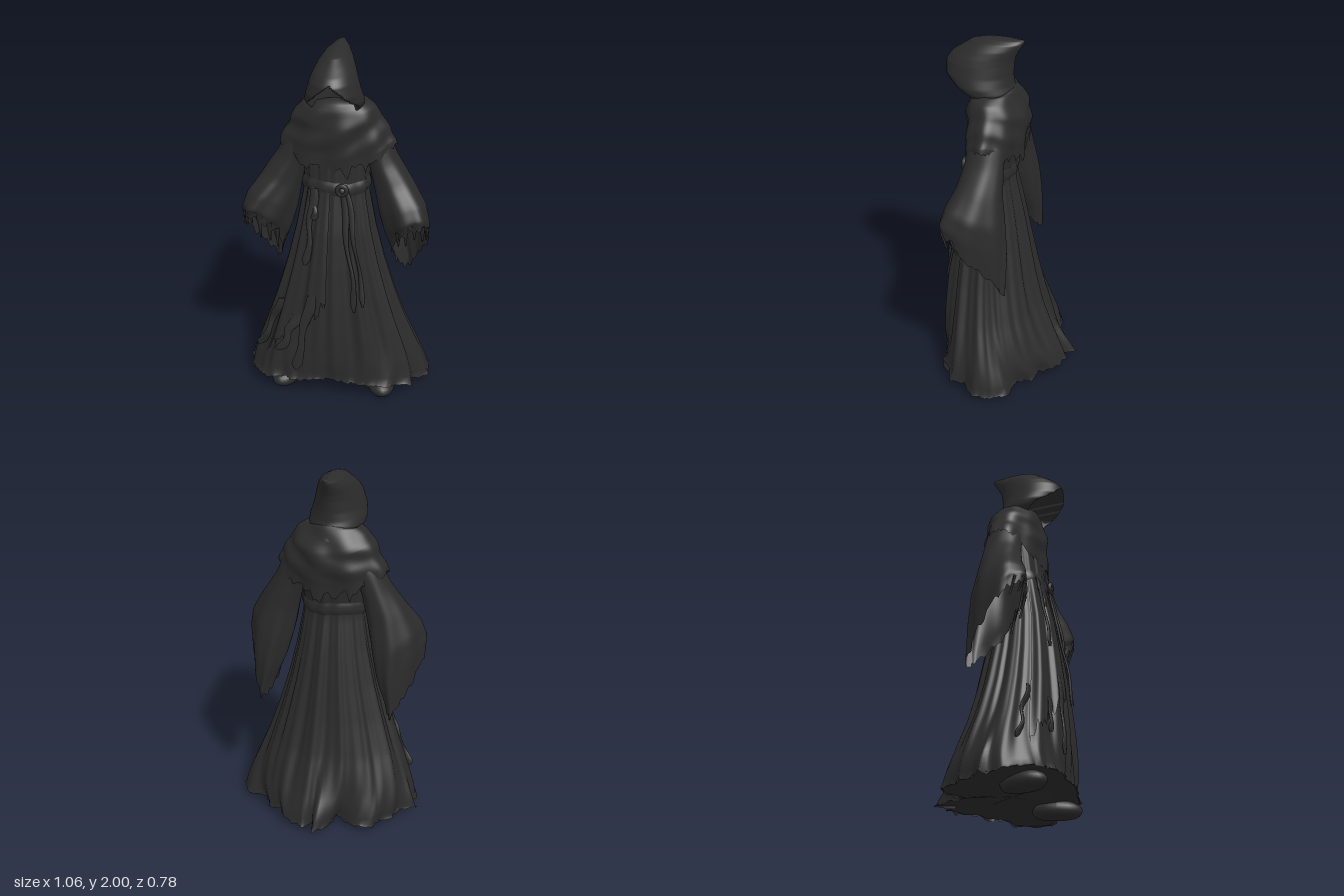
import * as THREE from 'three';

const cloth = new THREE.MeshStandardMaterial({ color: 0x2b2b2b, side: THREE.DoubleSide });
cloth.name = 'charcoal cloth';

const TAU = Math.PI * 2;
const { sin, cos, abs, max, min } = Math;
const clamp01 = (v) => min(1, max(0, v));
const jag = (i) => { const s = sin(i * 12.9898 + 4.1) * 43758.5453; return s - Math.floor(s); };

// Reads a table whose first column is the key
function sample(table, key) {
  let i = 0;
  const up = table[1][0] > table[0][0] ? 1 : -1;
  while (i < table.length - 2 && key * up > table[i + 1][0] * up) i++;
  const a = table[i], b = table[i + 1];
  const f = clamp01((key - a[0]) / (b[0] - a[0]));
  return a.map((v, k) => v + (b[k] - v) * f);
}

// Sheet of rows x cols points; rows run downwards, columns run round from the front to +x
function sheet(name, rows, cols, closed, point) {
  const pos = [], index = [], n = closed ? cols : cols + 1;
  for (let r = 0; r <= rows; r++) for (let c = 0; c < n; c++) pos.push(...point(r / rows, c / cols, c));
  for (let r = 0; r < rows; r++) for (let c = 0; c < cols; c++) {
    const a = r * n + c, b = r * n + (c + 1) % n, d = a + n, e = b + n;
    index.push(a, d, b, b, d, e);
  }
  const g = new THREE.BufferGeometry();
  g.setAttribute('position', new THREE.Float32BufferAttribute(pos, 3));
  g.setIndex(index);
  g.computeVertexNormals();
  const m = new THREE.Mesh(g, cloth);
  m.name = name;
  return m;
}

// Robe: height, half width, front z, back z, fold depth
const ROBE = [
  [1.62, 0.19, 0.175, -0.06, 0], [1.45, 0.19, 0.2, -0.06, 0.004], [1.26, 0.172, 0.215, -0.035, 0.004],
  [1.2, 0.178, 0.225, -0.04, 0.006], [1.0, 0.213, 0.268, -0.08, 0.01], [0.8, 0.26, 0.296, -0.115, 0.013],
  [0.6, 0.317, 0.318, -0.15, 0.016], [0.4, 0.378, 0.334, -0.19, 0.018], [0.2, 0.443, 0.346, -0.245, 0.022],
  [0.02, 0.5, 0.35, -0.32, 0.024],
];
// Deeply folded hem outline (x, z), from the back round by -x, turned into angle, x, z
const HEM = [
  [-0.0001, -0.29], [-0.035, -0.4], [-0.1, -0.29], [-0.11, -0.19], [-0.24, -0.26], [-0.33, -0.235], [-0.36, -0.14],
  [-0.41, -0.11], [-0.42, -0.03], [-0.52, 0.04], [-0.46, 0.07], [-0.49, 0.15], [-0.44, 0.22], [-0.4, 0.29],
  [-0.33, 0.33], [-0.25, 0.31], [-0.2, 0.355], [-0.1, 0.335], [0, 0.3], [0.1, 0.335], [0.2, 0.31], [0.32, 0.31],
  [0.36, 0.25], [0.45, 0.22], [0.44, 0.13], [0.52, 0.06], [0.51, -0.06], [0.45, -0.13], [0.37, -0.13],
  [0.33, -0.15], [0.28, -0.225], [0.2, -0.24], [0.17, -0.31], [0.03, -0.36], [0, -0.29],
].map(([x, z]) => [Math.atan2(x, z - 0.02), x, z]);
const hemHeight = (t) => 0.1 - 0.075 * clamp01(1.1 * (1 - cos(t)));

function robePoint(t, y, off = 0) {
  const [, rx, zf, zb, amp] = sample(ROBE, y);
  // the hem outline only takes over close to the ground
  const w = clamp01((0.9 - y) / 0.86) ** 5;
  const fold = amp * (1 - 0.7 * w) * (0.6 * sin(t * 13 + sin(t * 2)) + 0.55 * (1 - 2 * abs(sin(t * 5 + 0.6))) + 0.3 * sin(t * 29));
  const x = (rx + fold) * sin(t), z = (zf + zb) / 2 + ((zf - zb) / 2 + fold) * cos(t);
  const [, hx, hz] = sample(HEM, t);
  return [x + (hx - x) * w + off * sin(t), y, z + (hz - z) * w + off * cos(t)];
}

// Hood: height, back z, front z, half width
const HOOD = [
  [2.0, -0.05, 0.09, 0], [1.995, -0.088, 0.135, 0.03], [1.975, -0.08, 0.2, 0.065], [1.94, -0.058, 0.25, 0.093],
  [1.9, -0.038, 0.305, 0.114], [1.865, -0.03, 0.333, 0.128], [1.8, -0.025, 0.345, 0.148],
  [1.75, -0.028, 0.31, 0.163], [1.72, -0.04, 0.27, 0.16], [1.66, -0.07, 0.18, 0.135],
];
function hoodPoint(v, u) {
  const y = 2 - 0.34 * v ** 1.25, t = (u - 0.5) * TAU;
  const [, zb, zf, hw] = sample(HOOD, y);
  // slightly pinched towards the back seam
  const x = hw * sin(t) * (1 - 0.2 * ((1 - cos(t)) / 2) ** 2);
  let z = (zf + zb) / 2 + (zf - zb) / 2 * cos(t);
  // hollow face opening under the brim
  const open = 0.13 * clamp01((1.868 - y) / 0.13) ** 0.85;
  if (cos(t) > 0 && abs(x) < open) z = min(z, 0.1 + 0.1 * (x / 0.14) ** 2);
  return [x, y, z];
}

// Shoulder cape: progress, height at the side, height at front and back, half width, front z, back z
const CAPE = [
  [0, 1.7, 1.74, 0.1, 0.13, -0.02], [0.08, 1.72, 1.73, 0.15, 0.175, -0.04], [0.22, 1.69, 1.68, 0.195, 0.2, -0.06],
  [0.4, 1.64, 1.6, 0.232, 0.218, -0.1], [0.7, 1.56, 1.49, 0.272, 0.217, -0.105], [1, 1.49, 1.39, 0.312, 0.212, -0.088],
];
function capePoint(v, u, c) {
  const t = (u - 0.5) * TAU, S = sin(t), C = cos(t);
  const [, ys, yf, rx, zf, zb] = sample(CAPE, v);
  // folds draped diagonally across the chest, with a torn lower edge
  const fold = 0.006 * sin(v * 14 + S * 5) * sin(v * Math.PI) + 0.007 * v * sin(t * 9);
  const torn = v > 0.99 ? -0.07 * jag(c) ** 2 * abs(C) - 0.02 * jag(c + 9) : 0;
  const y = yf + (ys - yf) * S ** 2 + torn;
  return [(rx + fold) * S, y, (zf + zb) / 2 + ((zf - zb) / 2 + fold) * C];
}

// Sleeve: progress, centre xyz, sideways half axis xy, forward half axis xyz
const SLEEVE = [
  [0, 0.15, 1.6, 0.06, 0.06, 0.02, 0, 0, 0.09], [0.13, 0.2, 1.49, 0.055, 0.07, 0.03, 0, 0, 0.1],
  [0.28, 0.25, 1.37, 0.06, 0.076, 0.03, 0, 0, 0.105], [0.46, 0.305, 1.24, 0.07, 0.102, 0.04, 0.005, 0.02, 0.122],
  [0.65, 0.355, 1.11, 0.08, 0.13, 0.04, 0.02, 0.06, 0.155], [0.83, 0.384, 0.99, 0.085, 0.127, 0.05, 0.03, 0.11, 0.172],
  [1, 0.405, 0.885, 0.08, 0.108, 0.05, 0.02, 0.19, 0.165],
];
function sleevePoint(side, v, u, c) {
  const t = (u - 0.5) * TAU, S = sin(t), C = cos(t);
  const [, cx, cy, cz, ux, uy, vx, vy, vz] = sample(SLEEVE, v);
  const fold = 1 + 0.05 * v * sin(t * 7 + v * 4);
  // the rear lower corner narrows to a point
  const narrow = 1 - 0.65 * v ** 4 * ((1 - C) / 2) ** 2;
  const torn = v > 0.99 ? 0.04 * jag(c + 40) : 0;
  return [side * cx + ux * S * fold * narrow + side * vx * C, cy + side * uy * S + vy * C - torn, cz + vz * C * fold];
}

// Hanging strip lying over the robe: start and end x, start and end height, width, lift at the lower end
function strip(name, x0, x1, y0, y1, w, off) {
  return sheet(name, 14, 10, true, (v, u) => {
    const y = y0 + (y1 - y0) * v, x = x0 + (x1 - x0) * v + 0.006 * sin(v * 11);
    const t = Math.asin(x / sample(ROBE, y)[1]), a = (u - 0.5) * TAU;
    const p = robePoint(t, y, 0.02 + (off - 0.02) * v);
    const half = w * (0.8 + 0.25 * sin(v * 8)) * (v > 0.95 ? 0.35 : 1);
    return [p[0] + half * sin(a), y, p[2] + 0.007 * cos(a)];
  });
}

function add(group, name, geometry, position, scale = [1, 1, 1]) {
  const m = new THREE.Mesh(geometry, cloth);
  m.name = name;
  m.position.set(...position);
  m.scale.set(...scale);
  group.add(m);
  return m;
}

export function createModel() {
  const g = new THREE.Group();
  g.name = 'hooded robe figure';

  // Robe with a ragged hem, raised in front and trailing behind, and its underside
  g.add(sheet('robe', 60, 200, true, (v, u, c) => {
    const t = (u - 0.5) * TAU;
    const p = robePoint(t, 1.62 + (hemHeight(t) - 1.62) * v, v > 0.99 ? 0.015 * jag(c) : 0);
    if (v > 0.99) p[1] += 0.018 * jag(Math.floor(c / 2) + 70);
    return p;
  }));
  g.add(sheet('robeUnderside', 8, 100, true, (v, u) => {
    const t = (u - 0.5) * TAU, p = robePoint(t, hemHeight(t) + 0.015);
    const y = p[1] + (0.055 - p[1]) * v + 0.01 * sin(v * Math.PI) * sin(t * 6);
    return [p[0] * (1 - v), y, 0.02 + (p[2] - 0.02) * (1 - v)];
  }));

  // Torn overskirt panel on the right of the front
  g.add(sheet('overskirt', 24, 40, false, (v, u, c) => {
    const t = -0.95 + 0.89 * u, hem = 0.2 + 0.35 * u + 0.1 * jag(c + 20);
    return robePoint(t, 1.24 + (hem - 1.24) * v, 0.008 + 0.014 * v);
  }));

  // Hood, shoulder cape and sleeves
  g.add(sheet('hood', 48, 96, true, hoodPoint));
  g.add(sheet('shoulderCape', 26, 96, true, capePoint));
  for (const side of [1, -1]) {
    const label = side > 0 ? 'left' : 'right';
    g.add(sheet(label + 'Sleeve', 26, 56, true, (v, u, c) => sleevePoint(side, v, u, c)));
    // tatters hanging from the cuff
    for (let i = 0; i < 5; i++) {
      const t = -0.6 + i * 0.4, len = 0.07 + 0.08 * jag(i + side * 3 + 8);
      const top = sleevePoint(side, 0.95, 0.5 + t / TAU, 0);
      g.add(sheet(label + 'CuffTatter', 5, 6, true, (v, u) => {
        const a = (u - 0.5) * TAU, w = 0.018 * (1 - 0.8 * v);
        return [top[0] + w * sin(a), top[1] - len * v, top[2] - 0.03 * v + 0.006 * cos(a)];
      }));
    }
    // shoes with flat soles
    const shoe = new THREE.SphereGeometry(1, 24, 16);
    const p = shoe.attributes.position;
    for (let i = 0; i < p.count; i++) p.setY(i, max(p.getY(i), -0.6));
    shoe.computeVertexNormals();
    add(g, label + 'Shoe', shoe, [side * 0.27, 0.036, 0.18], [0.08, 0.06, 0.135]).rotation.y = side * 0.25;
  }

  // Belt, knot and hanging ends
  g.add(sheet('belt', 10, 64, true, (v, u) => {
    const p = robePoint((u - 0.5) * TAU, 1.29 - 0.07 * v, 0.003 + 0.01 * sin(v * Math.PI));
    p[1] += 0.006 * sin(u * TAU * 3);
    return p;
  }));
  add(g, 'beltKnot', new THREE.TorusGeometry(0.025, 0.012, 10, 24), [0.055, 1.26, 0.235]);
  add(g, 'beltKnotCore', new THREE.SphereGeometry(0.02, 14, 10), [0.055, 1.255, 0.23]);
  g.add(strip('beltEnd', 0.05, 0.135, 1.25, 0.57, 0.018, 0.025));
  g.add(strip('beltEnd', 0.07, 0.175, 1.25, 0.6, 0.016, 0.02));
  g.add(strip('sash', -0.09, -0.12, 1.25, 0.82, 0.024, 0.04));
  g.add(strip('sash', -0.1, -0.08, 1.25, 1.08, 0.02, 0.025));
  g.add(strip('tornStrip', -0.09, -0.17, 0.65, 0.19, 0.032, 0.045));
  g.add(strip('tornStrip', -0.18, -0.25, 0.5, 0.28, 0.036, 0.05));
  g.add(strip('tornStrip', -0.28, -0.39, 0.55, 0.22, 0.03, 0.035));
  return g;
}
